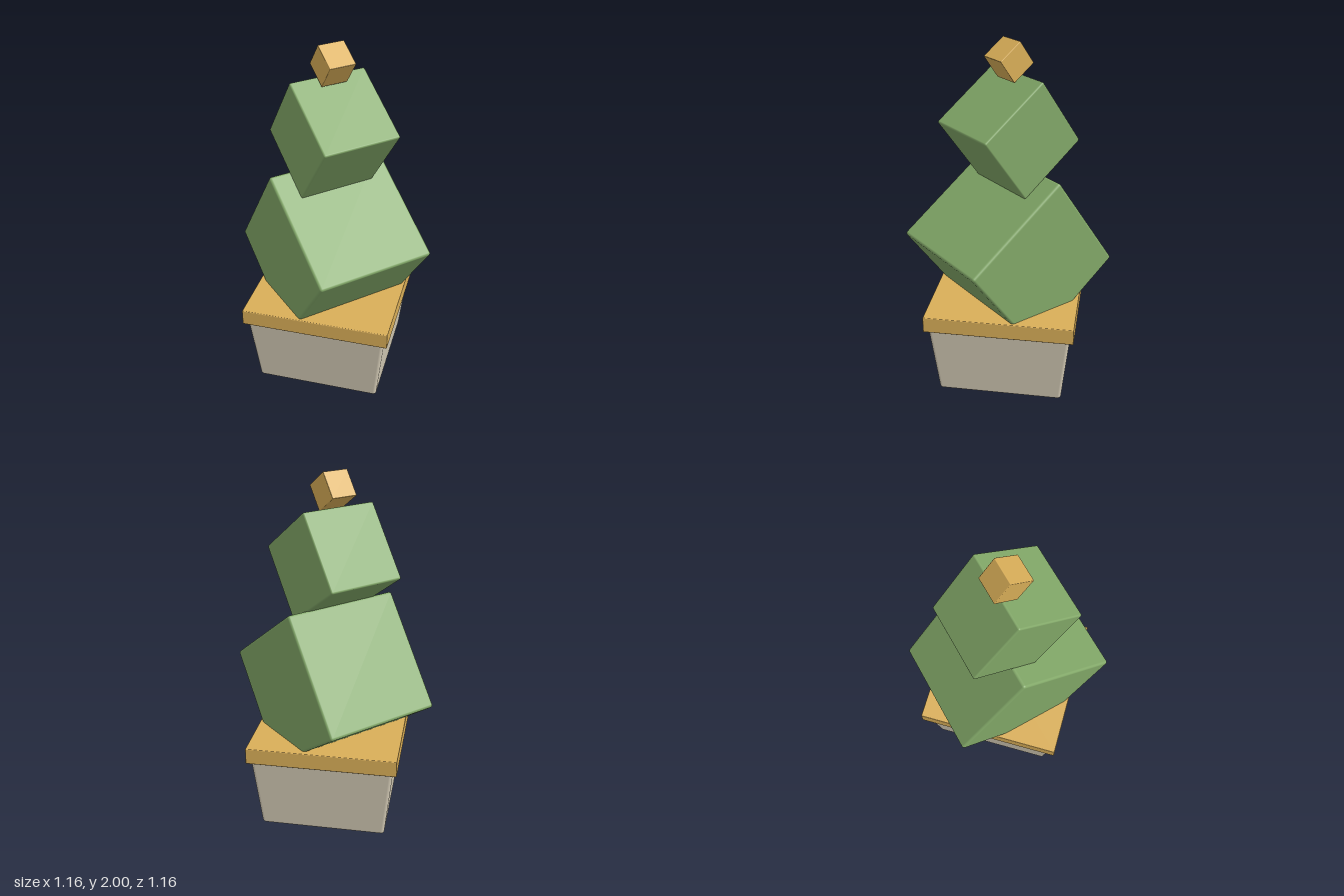
import * as THREE from 'three';
import { RoundedBoxGeometry } from 'three/addons/geometries/RoundedBoxGeometry.js';

function material(name, color) {
  const m = new THREE.MeshStandardMaterial({ color });
  m.name = name;
  return m;
}

// Box whose side walls lean outward towards the top
function taperedBox(bottomHalf, topHalf, height, radius) {
  const geo = new RoundedBoxGeometry(2 * bottomHalf, height, 2 * bottomHalf, 3, radius);
  geo.translate(0, height / 2, 0);
  const slope = (topHalf - bottomHalf) / height;
  const pos = geo.attributes.position;
  const nor = geo.attributes.normal;
  const n = new THREE.Vector3();
  for (let i = 0; i < pos.count; i++) {
    const s = 1 + (slope * pos.getY(i)) / bottomHalf;
    pos.setXYZ(i, pos.getX(i) * s, pos.getY(i), pos.getZ(i) * s);
    n.fromBufferAttribute(nor, i);
    n.y -= slope * Math.max(Math.abs(n.x), Math.abs(n.z));
    n.normalize();
    nor.setXYZ(i, n.x, n.y, n.z);
  }
  return geo;
}

export function createModel() {
  const group = new THREE.Group();
  group.name = 'pottedCubeTopiary';

  const stone = material('stone', 0xd4cbb6);
  const gold = material('gold', 0xd9ae58);
  const leaf = material('leafGreen', 0x82a868);

  const add = (name, geo, mat, y) => {
    const mesh = new THREE.Mesh(geo, mat);
    mesh.name = name;
    mesh.position.y = y;
    group.add(mesh);
    return mesh;
  };

  // Pot and its square rim
  add('pot', taperedBox(0.355, 0.402, 0.45, 0.018), stone, 0);
  add('rim', new RoundedBoxGeometry(0.846, 0.093, 0.846, 2, 0.005), gold, 0.475);

  // Tilted cubes stacked on their edges: [name, side, edge radius, material, centre height]
  const cubes = [
    ['lowerFoliage', 0.7, 0.015, leaf, 0.797],
    ['upperFoliage', 0.455, 0.01, leaf, 1.498],
    ['topOrnament', 0.155, 0.004, gold, 1.893],
  ];
  const tilt = Math.atan(Math.SQRT1_2);
  for (const [name, side, radius, mat, y] of cubes) {
    const cube = add(name, new RoundedBoxGeometry(side, side, side, 3, radius), mat, y);
    cube.rotation.set(tilt, Math.PI / 4, 0, 'YXZ');
  }

  return group;
}
